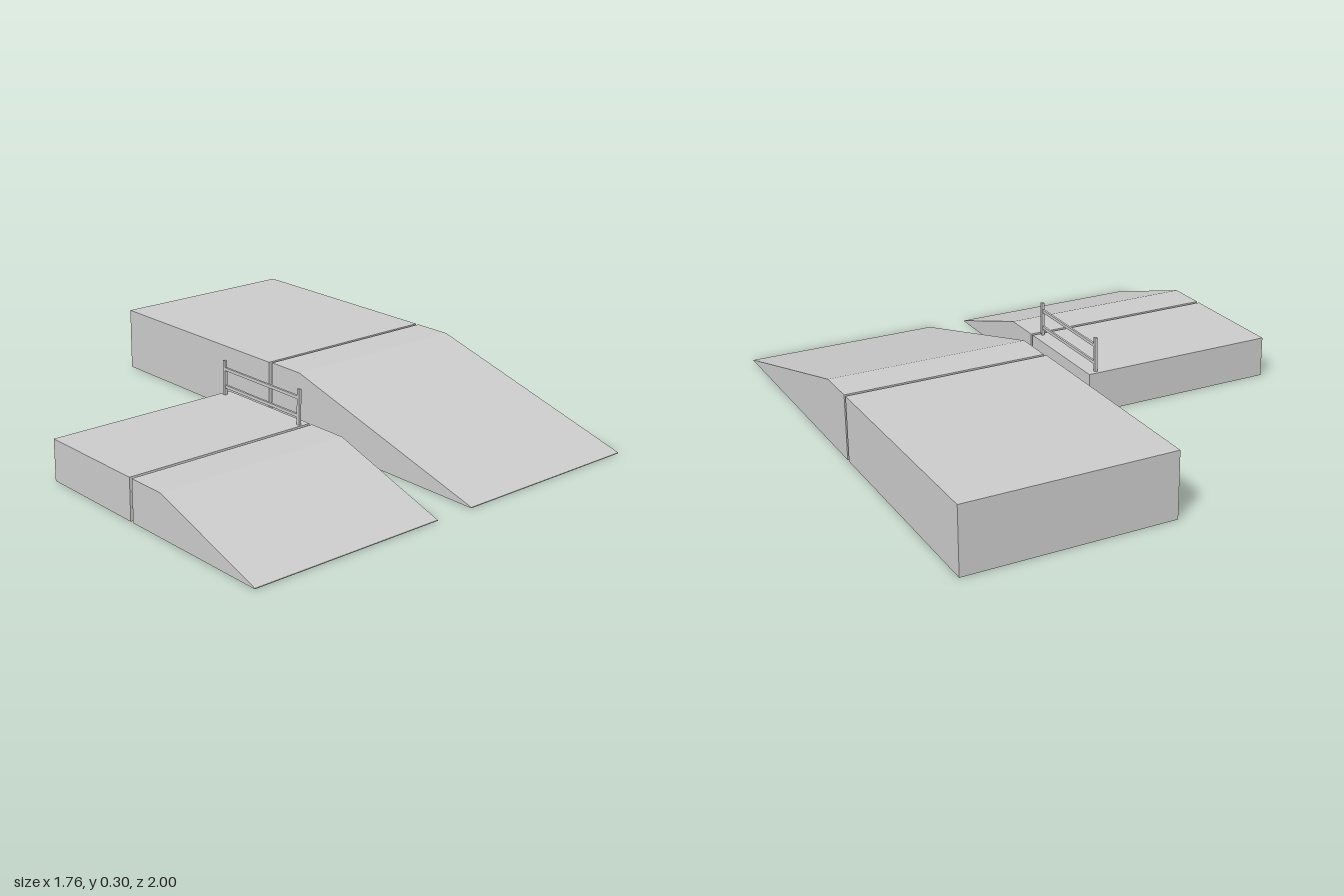
import * as THREE from 'three';

const material = new THREE.MeshStandardMaterial({ color: 0xcccccc, flatShading: true });

function box(name, [x0, x1], [y0, y1], [z0, z1]) {
  const mesh = new THREE.Mesh(new THREE.BoxGeometry(x1 - x0, y1 - y0, z1 - z0), material);
  mesh.position.set((x0 + x1) / 2, (y0 + y1) / 2, (z0 + z1) / 2);
  mesh.name = name;
  return mesh;
}

// Side profile drawn in (z, y), extruded across the width
function ramp(name, [x0, x1], height, back, crest, front) {
  const profile = new THREE.Shape([
    new THREE.Vector2(back, 0),
    new THREE.Vector2(front, 0),
    new THREE.Vector2(front, 0.003),
    new THREE.Vector2(crest, height),
    new THREE.Vector2(back, height),
  ]);
  const geometry = new THREE.ExtrudeGeometry(profile, { depth: x1 - x0, bevelEnabled: false });
  geometry.rotateY(-Math.PI / 2); // profile x -> +z, depth -> -x
  geometry.translate(x1, 0, 0);
  const mesh = new THREE.Mesh(geometry, material);
  mesh.name = name;
  return mesh;
}

export function createModel() {
  const model = new THREE.Group();
  model.name = 'ramps';

  // Tall platform with its long ramp
  const tall = new THREE.Group();
  tall.name = 'tallRampUnit';
  tall.add(
    box('tallPlatform', [0.075, 0.876], [0, 0.255], [-1, -0.073]),
    ramp('tallRamp', [0.08, 0.876], 0.255, -0.06, 0.1, 1),
  );

  // Low platform with its short ramp
  const low = new THREE.Group();
  low.name = 'lowRampUnit';
  low.add(
    box('lowPlatform', [-0.88, -0.084], [0, 0.161], [-0.118, 0.345]),
    ramp('lowRamp', [-0.88, -0.084], 0.161, 0.359, 0.52, 1),
  );

  // Guard rail along the inner edge of the low platform
  const rail = new THREE.Group();
  rail.name = 'guardRail';
  for (const z of [-0.098, 0.33]) {
    rail.add(box('railPost', [-0.127, -0.116], [0.161, 0.298], [z - 0.006, z + 0.006]));
  }
  for (const y of [0.195, 0.265]) {
    rail.add(box('railBar', [-0.126, -0.117], [y - 0.006, y + 0.006], [-0.092, 0.324]));
  }

  model.add(tall, low, rail);
  return model;
}
